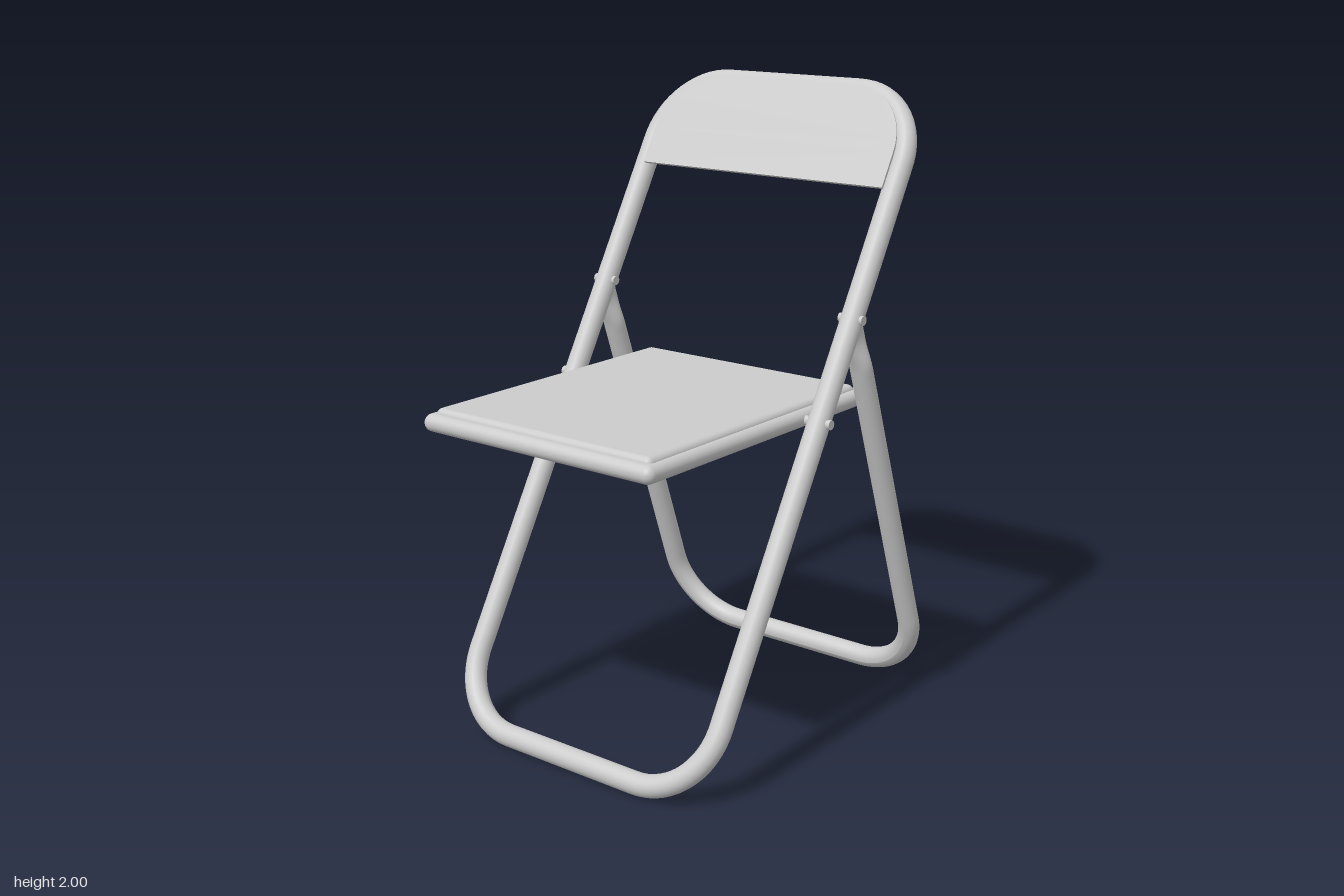
import * as THREE from 'three';
import { RoundedBoxGeometry } from 'three/addons/geometries/RoundedBoxGeometry.js';

const R = 0.035;          // tube radius
const HALF = 0.482;       // half width of the frames, to the tube centre
const BEND = 0.228;       // corner bend radius
const FRONT_X = 0.0035;   // small sideways offset of the front frame
const FRONT_LEN = 2.227;
const FRONT_TILT = -0.5244, REAR_TILT = 0.342;

const material = new THREE.MeshStandardMaterial({ color: 0xcccccc, roughness: 0.6 });

function add(parent, name, geometry, x = 0, y = 0, z = 0) {
  const mesh = new THREE.Mesh(geometry, material);
  mesh.name = name;
  mesh.position.set(x, y, z);
  parent.add(mesh);
  return mesh;
}

// Tube bent along a flat outline
function bentTube(path, closed, segments) {
  const points = path.getSpacedPoints(180).map(p => new THREE.Vector3(p.x, p.y, 0));
  if (closed) points.pop();
  const curve = new THREE.CatmullRomCurve3(points, closed, 'centripetal');
  curve.arcLengthDivisions = 1000;
  return new THREE.TubeGeometry(curve, segments, R, 18, closed);
}

// Closed loop with rounded corners, standing on y = 0
function loopPath(w, h, r) {
  const p = new THREE.Path();
  p.moveTo(-w, h / 2).lineTo(-w, r);
  p.absarc(-w + r, r, r, Math.PI, Math.PI * 1.5, false);
  p.lineTo(w - r, 0);
  p.absarc(w - r, r, r, -Math.PI / 2, 0, false);
  p.lineTo(w, h - r);
  p.absarc(w - r, h - r, r, 0, Math.PI / 2, false);
  p.lineTo(-w + r, h);
  p.absarc(-w + r, h - r, r, Math.PI / 2, Math.PI, false);
  p.lineTo(-w, h / 2);
  return p;
}

// U-shaped rear leg whose two ends are pressed flat and rounded off
function rearLegGeometry(w, h, r) {
  const p = new THREE.Path();
  p.moveTo(-w, h).lineTo(-w, r);
  p.absarc(-w + r, r, r, Math.PI, Math.PI * 1.5, false);
  p.lineTo(w - r, 0);
  p.absarc(w - r, r, r, -Math.PI / 2, 0, false);
  p.lineTo(w, h);
  const geometry = bentTube(p, false, 260);
  const pos = geometry.attributes.position;
  for (let i = 0; i < pos.count; i++) {
    const y = pos.getY(i);
    const flat = THREE.MathUtils.smoothstep(y, h - 0.19, h - 0.08);
    const tip = THREE.MathUtils.clamp((y - (h - 0.05)) / 0.05, 0, 1);
    const side = Math.sign(pos.getX(i)) * w;
    if (flat > 0) {
      pos.setX(i, side + (pos.getX(i) - side) * (1 - 0.7 * flat));
      pos.setZ(i, pos.getZ(i) * (1 + 0.28 * flat) * Math.sqrt(1 - tip * tip));
    }
  }
  geometry.computeVertexNormals();
  return geometry;
}

// Thin back panel that follows the top of the front frame
function backPanelGeometry(w, bottom, top, r, thickness) {
  const s = new THREE.Shape();
  s.moveTo(-w, bottom).lineTo(w, bottom).lineTo(w, top - r);
  s.absarc(w - r, top - r, r, 0, Math.PI / 2, false);
  s.lineTo(-w + r, top);
  s.absarc(-w + r, top - r, r, Math.PI / 2, Math.PI, false);
  s.closePath();
  return new THREE.ExtrudeGeometry(s, { depth: thickness, bevelEnabled: false, curveSegments: 16 });
}

export function createModel() {
  const chair = new THREE.Group();
  chair.name = 'foldingChair';

  // Front frame with back panel, leaning backwards
  const front = new THREE.Group();
  front.name = 'frontFrame';
  front.position.set(FRONT_X, 0.036, 0.545);
  front.rotation.x = FRONT_TILT;
  chair.add(front);
  add(front, 'frontFrameTube', bentTube(loopPath(HALF, FRONT_LEN, BEND), true, 240));
  add(front, 'backPanel', backPanelGeometry(0.464, 1.902, FRONT_LEN, 0.21, 0.012), 0, 0, 0.025);

  // Rear leg, leaning forwards to meet the front frame
  const rear = add(chair, 'rearLeg', rearLegGeometry(0.4905, 1.39, BEND), -0.0035, 0.036, -0.662);
  rear.rotation.x = REAR_TILT;

  // Seat: rounded rim with a slightly raised pad
  const seat = new THREE.Group();
  seat.name = 'seat';
  chair.add(seat);
  add(seat, 'seatRim', new RoundedBoxGeometry(0.873, 0.055, 1.067, 5, 0.027), 0.006, 1.0475, 0.163);
  add(seat, 'seatPad', new RoundedBoxGeometry(0.822, 0.05, 1.005, 4, 0.02), 0.006, 1.065, 0.163);

  // Pivot pins through the frame, for the rear leg and for the seat
  for (const side of [-1, 1]) {
    for (const [name, y, z, x, length] of [
      ['legPivot', 1.33, -0.203, 0.482, 0.084],
      ['seatPivot', 1.046, -0.038, 0.473, 0.108],
    ]) {
      const pin = new THREE.CylinderGeometry(0.015, 0.015, length, 16).rotateZ(Math.PI / 2);
      add(chair, name, pin, FRONT_X + side * x, y, z);
    }
  }
  return chair;
}
